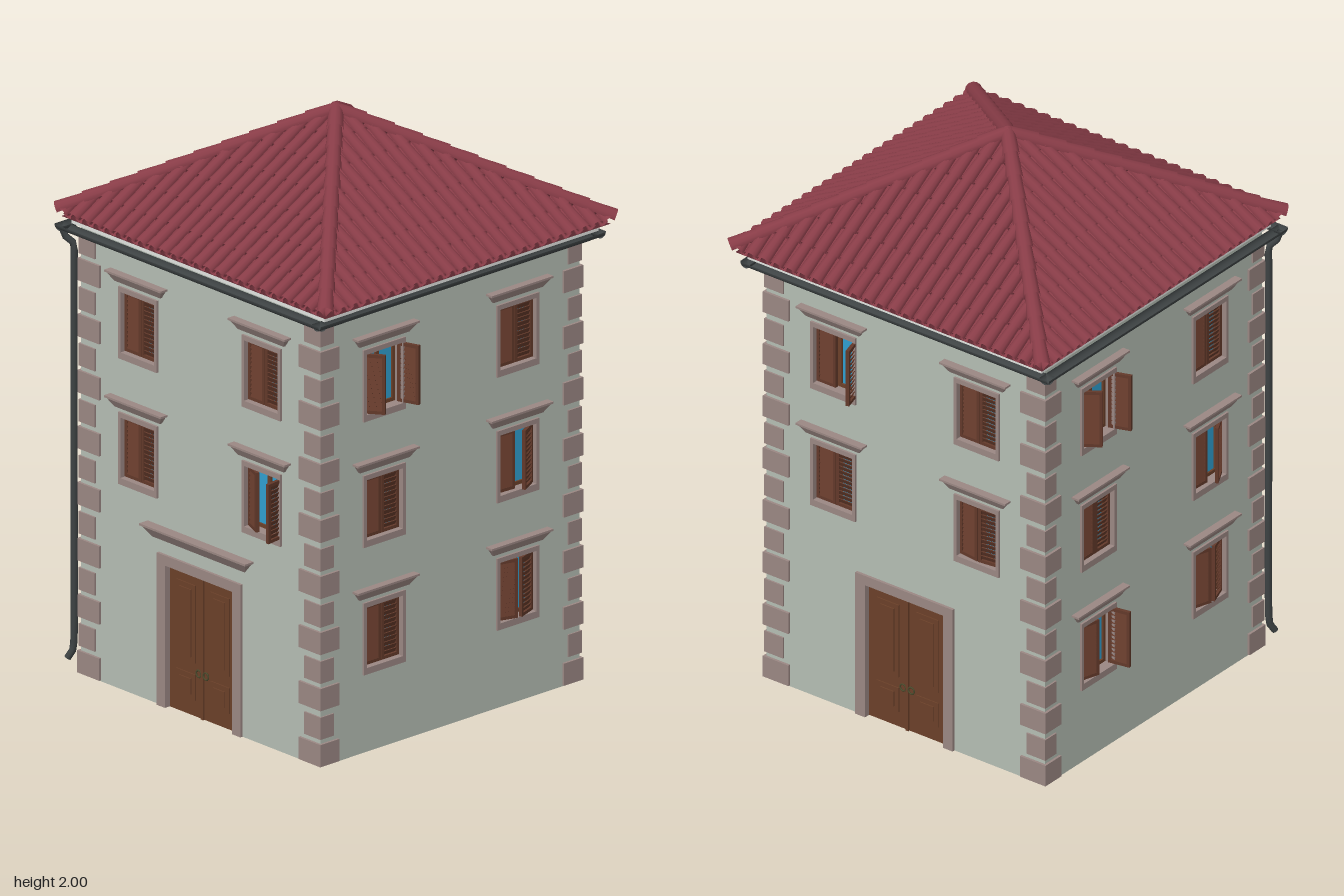
import * as THREE from 'three';
import { mergeGeometries } from 'three/addons/utils/BufferGeometryUtils.js';

const mat = (color, extra = {}) => new THREE.MeshStandardMaterial({ color, ...extra });
const M = {
  wall: mat(0xb4bdb3, { side: THREE.DoubleSide }),
  trim: mat(0x9a8783),
  wood: mat(0x6b4029),
  shutter: mat(0x63392a),
  glass: mat(0x2f9fd0),
  metal: mat(0x3e4344, { side: THREE.DoubleSide }),
  brass: mat(0x4a4a2c),
  soffit: mat(0xe2e4e0),
  tile: mat(0x883c47, { side: THREE.DoubleSide }),
  under: mat(0x5a262e, { side: THREE.DoubleSide, flatShading: true }),
};

const H = 0.572;              // half width of the walls
const WALL_TOP = 1.575;
const WIN_W = 0.16, WIN_H = 0.21, COL = 0.295;
const ROWS = [0.4, 0.843, 1.28];
const DOOR_W = 0.32, DOOR_H = 0.495;

function add(parent, name, geometry, material, x = 0, y = 0, z = 0) {
  const mesh = new THREE.Mesh(geometry, material);
  mesh.name = name;
  mesh.position.set(x, y, z);
  parent.add(mesh);
  return mesh;
}
const box = (w, h, d, x = 0, y = 0, z = 0) => new THREE.BoxGeometry(w, h, d).translate(x, y, z);
const rect = (Type, x0, y0, x1, y1) => new Type([[x0, y0], [x1, y0], [x1, y1], [x0, y1]].map(p => new THREE.Vector2(...p)));

// Moulded cornice: a slab whose lower edge is drawn in, with a lip on top
function corniceGeometry(w, h, depth) {
  const body = new THREE.BoxGeometry(w, h, depth).translate(0, 0, depth / 2);
  const p = body.attributes.position;
  for (let i = 0; i < p.count; i++) if (p.getY(i) < 0) {
    p.setX(i, p.getX(i) * (1 - 1.4 * h / w));
    if (p.getZ(i) > 0) p.setZ(i, depth * 0.3);
  }
  const flat = body.toNonIndexed();
  flat.computeVertexNormals();
  return mergeGeometries([flat, box(w + 0.006, 0.007, depth + 0.004, 0, h / 2, depth / 2).toNonIndexed()]);
}

// Louvred shutter leaf, hinged at x = 0 and reaching to +x
function leafGeometry() {
  const w = WIN_W / 2 - 0.001, h = WIN_H - 0.004, b = 0.011, t = 0.012, parts = [];
  for (const x of [b / 2, w - b / 2]) parts.push(box(b, h, t, x));
  for (const y of [-1, 1]) parts.push(box(w, b, t, w / 2, y * (h - b) / 2));
  const n = 12, step = (h - 2 * b) / n;
  for (let i = 0; i < n; i++) {
    parts.push(new THREE.BoxGeometry(w - 2 * b, step * 1.2, 0.003).rotateX(-0.45)
      .translate(w / 2, -h / 2 + b + step * (i + 0.5), 0));
  }
  return mergeGeometries(parts);
}

const frameShape = rect(THREE.Shape, -0.0925, -0.128, 0.0925, 0.122);
frameShape.holes.push(rect(THREE.Path, -WIN_W / 2, -WIN_H / 2, WIN_W / 2, WIN_H / 2));
const frameGeo = new THREE.ExtrudeGeometry(frameShape, { depth: 0.046, bevelEnabled: false });
const leafGeo = leafGeometry();
const winCornice = corniceGeometry(0.265, 0.033, 0.027);
const sashGeo = mergeGeometries([
  box(0.012, WIN_H, 0.01, -0.074), box(0.012, WIN_H, 0.01, 0.074), box(0.016, WIN_H, 0.01),
  box(WIN_W, 0.012, 0.01, 0, 0.099), box(WIN_W, 0.012, 0.01, 0, -0.099)]);

// Window with its two leaves opened by the given angles
function makeWindow(x, y, openLeft, openRight) {
  const g = new THREE.Group();
  g.name = 'window';
  g.position.set(x, y, H);
  add(g, 'windowFrame', frameGeo, M.trim, 0, 0, -0.038);
  add(g, 'glass', new THREE.BoxGeometry(WIN_W, WIN_H, 0.004), M.glass, 0, 0, -0.038);
  add(g, 'sash', sashGeo, M.wood, 0, 0, -0.034);
  add(g, 'shutterLeft', leafGeo, M.shutter, -WIN_W / 2, 0, -0.016).rotation.y = -openLeft;
  add(g, 'shutterRight', leafGeo, M.shutter, WIN_W / 2, 0, -0.016).rotation.y = Math.PI + openRight;
  add(g, 'windowCornice', winCornice, M.trim, 0, 0.153, 0);
  return g;
}

// Double door with stone surround
function makeDoor(withCornice) {
  const g = new THREE.Group();
  g.name = 'door';
  g.position.z = H;
  const w = DOOR_W / 2, o = 0.2, top = 0.53;
  const s = new THREE.Shape([[-o, 0], [-w, 0], [-w, DOOR_H], [w, DOOR_H], [w, 0], [o, 0], [o, top], [-o, top]]
    .map(p => new THREE.Vector2(...p)));
  add(g, 'doorFrame', new THREE.ExtrudeGeometry(s, { depth: 0.045, bevelEnabled: false }), M.trim, 0, 0, -0.035);
  for (const side of [-1, 1]) {
    const x = side * 0.081;
    add(g, 'doorLeaf', mergeGeometries([
      box(0.157, DOOR_H, 0.012, 0, DOOR_H / 2),
      ...[[0.1, 0.09], [0.32, 0.27]].flatMap(([y, h]) => [
        box(0.09, h, 0.006, 0, y, 0.007), box(0.055, h - 0.035, 0.006, 0, y, 0.011)])]), M.wood, x, 0, -0.018);
    add(g, 'doorHandle', new THREE.TorusGeometry(0.012, 0.003, 6, 14), M.brass, side * 0.017, 0.155, -0.007);
  }
  add(g, 'doorPost', box(0.012, DOOR_H, 0.012, 0, DOOR_H / 2), M.wood, 0, 0, -0.011);
  if (withCornice) add(g, 'doorCornice', corniceGeometry(0.5, 0.04, 0.036), M.trim, 0, 0.6, 0);
  return g;
}

// One side of the house: pierced wall, windows and an optional door
function makeSide({ name, turn, door, cornice, open }) {
  const g = new THREE.Group();
  g.name = name;
  g.rotation.y = turn;
  const w = DOOR_W / 2;
  const notch = door ? [[-w, 0], [-w, DOOR_H], [w, DOOR_H], [w, 0]] : [];
  const shape = new THREE.Shape([[-H, 0], ...notch, [H, 0], [H, WALL_TOP], [-H, WALL_TOP]]
    .map(p => new THREE.Vector2(...p)));
  ROWS.forEach((y, row) => {
    if (door && row === 0) return;
    [-COL, COL].forEach((x, col) => {
      shape.holes.push(rect(THREE.Path, x - WIN_W / 2, y - WIN_H / 2, x + WIN_W / 2, y + WIN_H / 2));
      const [a, b] = open[`${row}${col}`] || [0, 0];
      g.add(makeWindow(x, y, a, b));
    });
  });
  add(g, 'wall', new THREE.ShapeGeometry(shape), M.wall, 0, 0, H);
  if (door) g.add(makeDoor(cornice));
  return g;
}

// Half-round roof tile lying along `dir`, bulging towards `normal`
function tileGeometry(pos, dir, normal, len, rLow, rHigh, hollow = false) {
  const geo = new THREE.CylinderGeometry(rHigh, rLow, len, 6, 1, true, -Math.PI / 2, Math.PI);
  if (hollow) geo.rotateY(Math.PI);
  geo.translate(0, len / 2, 0);
  const across = new THREE.Vector3().crossVectors(dir, normal);
  return geo.applyMatrix4(new THREE.Matrix4().makeBasis(across, dir, normal).setPosition(pos));
}

function makeRoof() {
  const g = new THREE.Group();
  g.name = 'roof';
  const D = 0.64, Y0 = 1.605, RISE = 0.362, L = Math.hypot(D, RISE);
  const up = new THREE.Vector3(0, RISE / L, -D / L), normal = new THREE.Vector3(0, D / L, RISE / L);
  const cols = 24, pitch = 0.0533, step = L / 7, tiles = [];
  // One slope: raised cover tiles alternating with hollow channel tiles
  for (let i = 0; i < cols * 2 - 1; i++) {
    const u = (i / 2 - (cols - 1) / 2) * pitch, hollow = i % 2 === 1;
    const reach = L * (1 - Math.abs(u) / D);
    for (let t = 0; t < reach - 0.01; t += step) {
      const pos = new THREE.Vector3(u, Y0, D).addScaledVector(up, t).addScaledVector(normal, hollow ? 0.011 : 0.003);
      const len = Math.min(step * 1.12, reach - t + 0.015);
      tiles.push(hollow ? tileGeometry(pos, up, normal, len, 0.018, 0.018, true)
        : tileGeometry(pos, up, normal, len, 0.024, 0.019));
    }
  }
  const slope = mergeGeometries(tiles);
  // Ridge caps running up one hip
  const hip = new THREE.Vector3(-D, RISE, -D), hipLen = hip.length(), n = 10, caps = [];
  hip.normalize();
  const hipUp = new THREE.Vector3(RISE, 2 * D, RISE).normalize();
  for (let i = 0; i < n; i++) {
    const pos = new THREE.Vector3(D, Y0 + 0.012, D).addScaledVector(hip, hipLen * i / n);
    caps.push(tileGeometry(pos, hip, hipUp, hipLen / n * 1.1, 0.029, 0.023));
  }
  const ridge = mergeGeometries(caps);
  for (let k = 0; k < 4; k++) {
    add(g, 'roofTiles', slope, M.tile).rotation.y = k * Math.PI / 2;
    add(g, 'ridgeTiles', ridge, M.tile).rotation.y = k * Math.PI / 2;
  }
  const deck = new THREE.ConeGeometry(0.63 * Math.SQRT2, RISE, 4).rotateY(Math.PI / 4);
  add(g, 'roofDeck', deck, M.under, 0, Y0 - 0.011 + RISE / 2, 0);
  add(g, 'soffit', box(1.21, 0.03, 1.21), M.soffit, 0, 1.583, -0.005);
  return g;
}

export function createModel() {
  const model = new THREE.Group();
  model.name = 'townHouse';
  const house = new THREE.Group();
  house.name = 'house';
  house.position.set(-0.007, 0, -0.02);
  model.add(house);

  // Walls; `open` is keyed by row and column
  const ajar = { '02': [0, 0], '20': [0.95, 1.9], '11': [0.05, 0.5], '01': [0.3, 0.35] };
  [
    { name: 'frontSide', turn: 0, open: ajar },
    { name: 'rightSide', turn: Math.PI / 2, door: true, open: { '20': [0, 1.85], '11': [0.12, 0.12] } },
    { name: 'backSide', turn: Math.PI, open: { ...ajar, '00': [0.3, 1.75] } },
    { name: 'leftSide', turn: -Math.PI / 2, door: true, cornice: true, open: { '11': [0.4, 1.7] } },
  ].forEach(side => house.add(makeSide(side)));

  // Corner stones, alternately long and short
  for (const sx of [-1, 1]) for (const sz of [-1, 1]) {
    const stones = [];
    for (let i = 0; i < 16; i++) {
      const long = i % 2 === 0, out = long ? 0.009 : 0.006;
      const w = long ? 0.085 : 0.06, d = long ? 0.105 : 0.078;
      stones.push(box(w, 0.077, d, sx * (H + out - w / 2), 0.0385 + i * 0.0975 + (long ? 0.004 : 0), sz * (H + out - d / 2)));
    }
    add(house, 'cornerStones', mergeGeometries(stones), M.trim);
  }

  // Half-round gutters and the downpipe
  const R = 0.615;
  for (let k = 0; k < 4; k++) {
    const arm = new THREE.Group();
    arm.name = 'gutterSide';
    arm.rotation.y = k * Math.PI / 2;
    const trough = new THREE.CylinderGeometry(0.02, 0.02, 2 * R + 0.03, 8, 1, true, -Math.PI / 2, Math.PI)
      .rotateX(Math.PI / 2).rotateY(Math.PI / 2);
    add(arm, 'gutter', trough, M.metal, 0, 1.563, R);
    house.add(arm);
  }
  const path = new THREE.CatmullRomCurve3([
    [-0.615, 1.55, -0.615], [-0.61, 1.525, -0.61], [-0.588, 1.495, -0.588], [-0.588, 1.45, -0.588],
    [-0.588, 0.8, -0.588], [-0.588, 0.13, -0.588], [-0.59, 0.085, -0.59], [-0.606, 0.055, -0.6],
  ].map(p => new THREE.Vector3(...p)), false, 'centripetal');
  add(house, 'downpipe', new THREE.TubeGeometry(path, 48, 0.012, 8), M.metal);

  model.add(makeRoof());
  return model;
}
